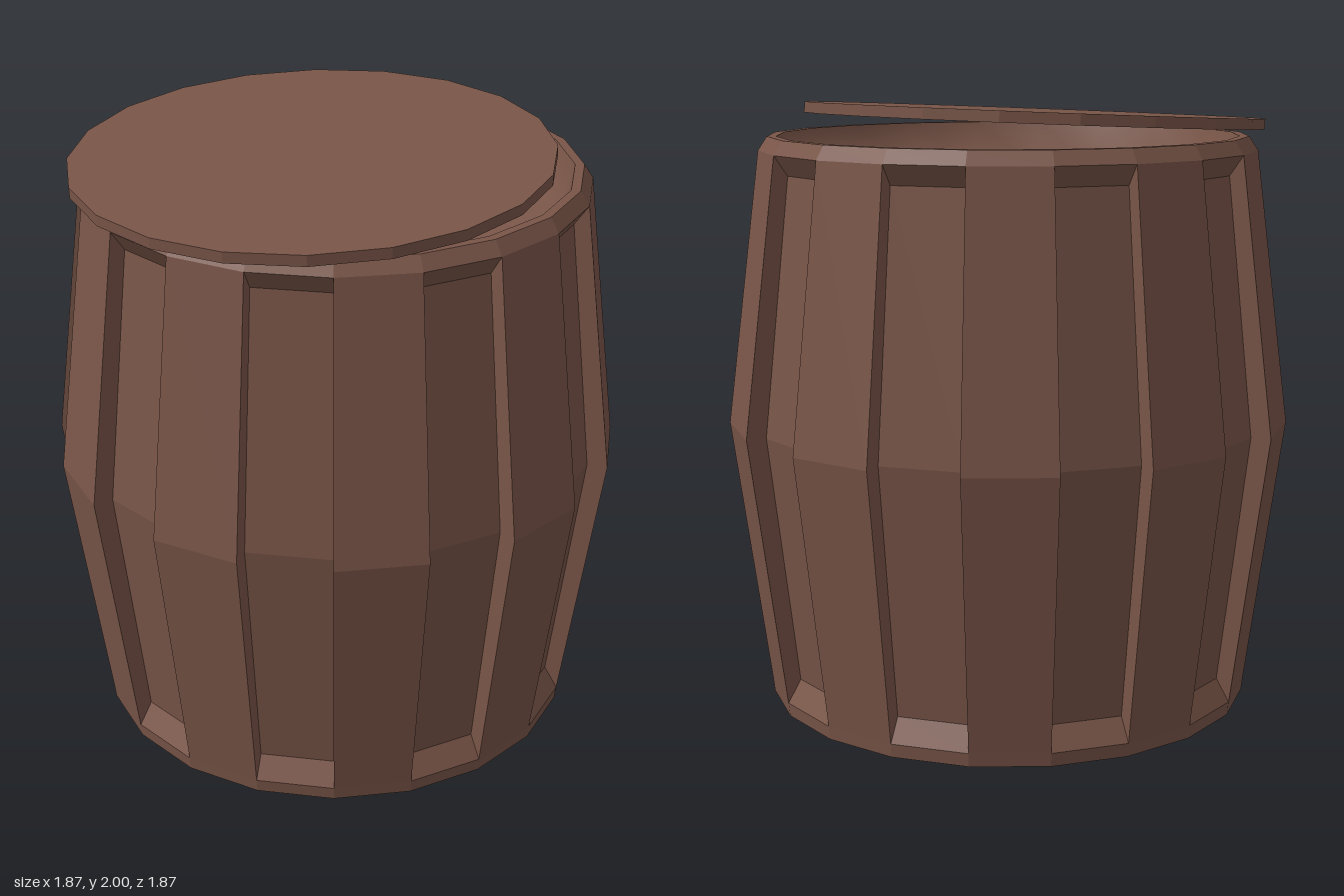
import * as THREE from 'three';
import { mergeGeometries } from 'three/addons/utils/BufferGeometryUtils.js';

const SIDES = 20;
const STEP = (Math.PI * 2) / SIDES;

// [radius, height] profiles
const OUTER = [[0.815, 0.045], [0.935, 0.945], [0.82, 1.84]];
const INNER = [[0.77, 0.12], [0.868, 0.945], [0.775, 1.775]];
const FOOT = [[0, 0], [0.81, 0], OUTER[0]];
const RIM = [OUTER[2], [0.79, 1.885], [0.76, 1.885]];
const INSIDE = [[0.76, 1.885], [0.71, 1.72], [0, 1.72]];

function lathe(profile, segments, start = 0) {
  const points = profile.map(([r, y]) => new THREE.Vector2(r, y));
  return new THREE.LatheGeometry(points, segments, start, segments * STEP);
}

// Hard-edged facets
function faceted(geometry) {
  const flat = geometry.toNonIndexed();
  flat.computeVertexNormals();
  return flat;
}

// Radial wall between a raised stave and a recess
function staveWall(angle, facesForward) {
  const at = ([r, y]) => [r * Math.sin(angle), y, r * Math.cos(angle)];
  const positions = [];
  for (let i = 0; i < 2; i++) {
    const quad = [OUTER[i], INNER[i], INNER[i + 1], OUTER[i + 1]].map(at);
    if (!facesForward) quad.reverse();
    for (const n of [0, 1, 2, 0, 2, 3]) positions.push(...quad[n]);
  }
  const geometry = new THREE.BufferGeometry();
  geometry.setAttribute('position', new THREE.Float32BufferAttribute(positions, 3));
  geometry.computeVertexNormals();
  return geometry;
}

export function createModel() {
  const model = new THREE.Group();
  model.name = 'barrel';
  const wood = new THREE.MeshStandardMaterial({ color: 0x795548 });
  wood.name = 'brown wood';

  const add = (name, geometry) => {
    const mesh = new THREE.Mesh(geometry, wood);
    mesh.name = name;
    model.add(mesh);
    return mesh;
  };

  // Alternating raised and recessed staves
  const raised = [], recessed = [], walls = [];
  for (let k = 0; k < SIDES; k++) {
    const start = k * STEP;
    if (k % 2) {
      raised.push(faceted(lathe(OUTER, 1, start)));
      walls.push(staveWall(start, false), staveWall(start + STEP, true));
    } else {
      recessed.push(faceted(lathe([OUTER[0], ...INNER, OUTER[2]], 1, start)));
    }
  }
  add('raisedStaves', mergeGeometries(raised));
  add('recessedStaves', mergeGeometries(recessed));
  add('staveWalls', mergeGeometries(walls));

  // Foot, rim and hollow top
  add('foot', faceted(lathe(FOOT, SIDES)));
  add('rim', faceted(lathe(RIM, SIDES)));
  add('inside', lathe(INSIDE, SIDES));

  // Lid slid to one side and resting at a tilt
  const lid = add('lid', faceted(new THREE.CylinderGeometry(0.765, 0.765, 0.035, SIDES)));
  lid.position.set(-0.125, 1.942, 0);
  lid.rotation.z = 0.053;

  return model;
}
